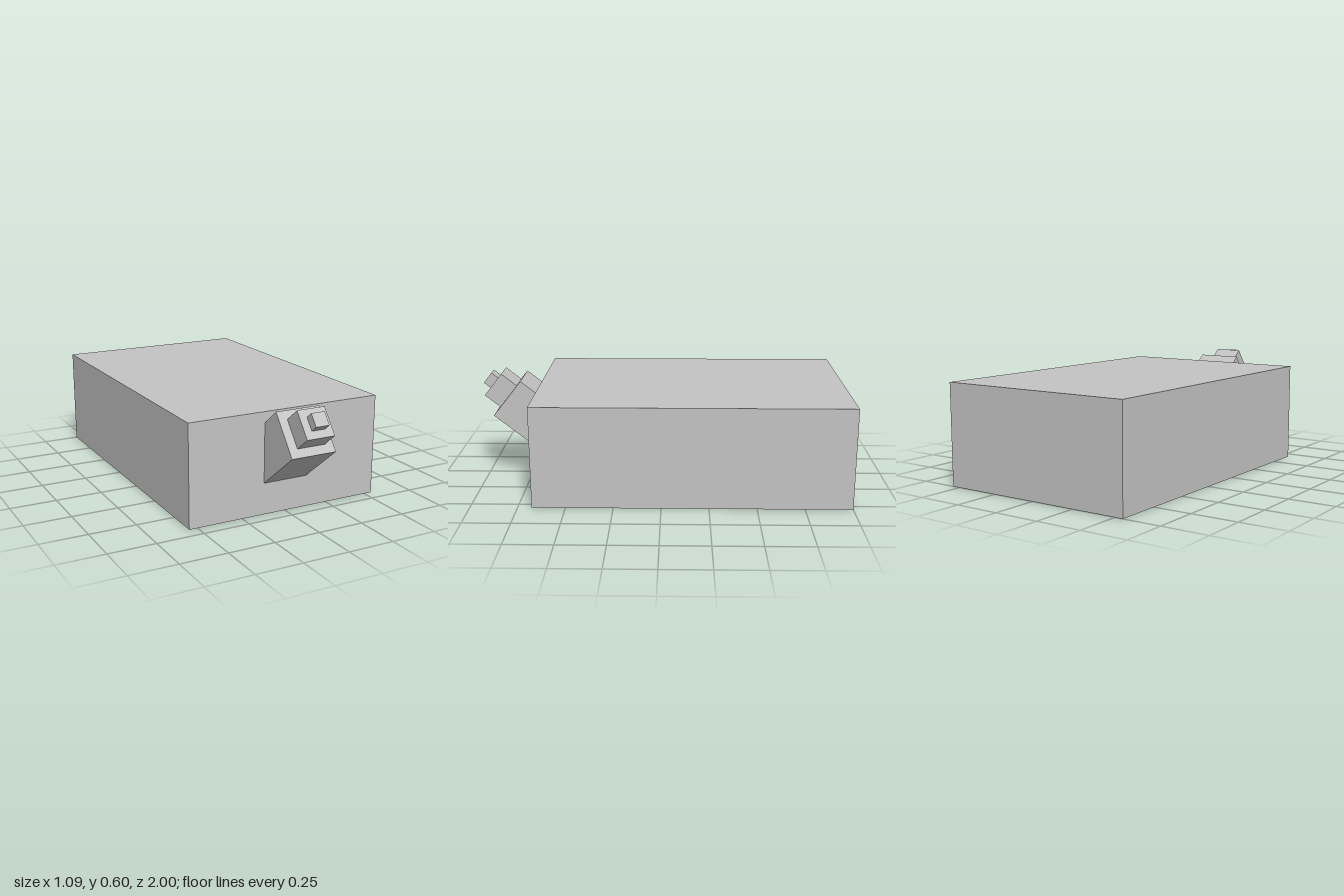
import * as THREE from 'three';

export function createModel() {
  const model = new THREE.Group();
  const grey = new THREE.MeshStandardMaterial({ color: 0xc4c4c4 });
  grey.name = 'light grey';

  // Box spanning zBack..zFront, centred on y
  function block(name, width, height, zBack, zFront, y, parent) {
    const mesh = new THREE.Mesh(new THREE.BoxGeometry(width, height, zFront - zBack), grey);
    mesh.name = name;
    mesh.position.set(0, y, (zBack + zFront) / 2);
    parent.add(mesh);
  }

  // Main body
  block('body', 1.09, 0.545, -1, 0.677, 0.2725, model);

  // Stepped nozzle, tilted upward out of the front face
  const nozzle = new THREE.Group();
  nozzle.name = 'nozzle';
  nozzle.position.set(0, 0.4725, 0.858);
  nozzle.rotation.x = -THREE.MathUtils.degToRad(38.5);
  block('nozzleBase', 0.25, 0.25, -0.4, 0, 0, nozzle);
  block('nozzleMiddle', 0.156, 0.156, 0, 0.107, 0, nozzle);
  block('nozzleTip', 0.075, 0.073, 0.107, 0.153, 0, nozzle);
  model.add(nozzle);

  return model;
}
